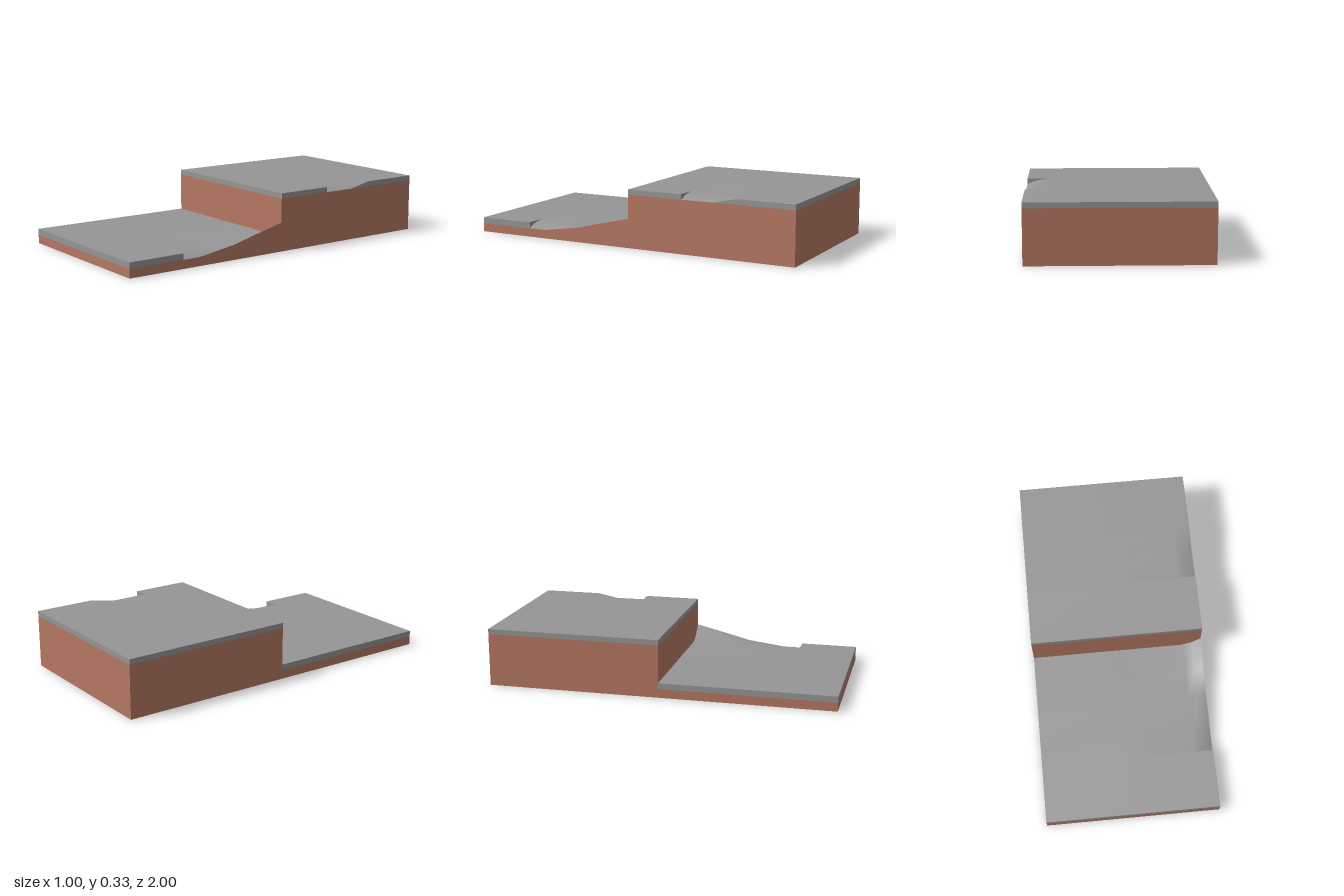
import * as THREE from 'three';

const stone = new THREE.MeshStandardMaterial({ color: 0x969696, side: THREE.DoubleSide });
stone.name = 'grey stone';
const earth = new THREE.MeshStandardMaterial({ color: 0xb67863, side: THREE.DoubleSide });
earth.name = 'brown earth';

// Levels: terrace tops and the lower edges of their stone trim
const LOW = 0.085, LOW_TRIM = 0.05, HIGH = 0.333, HIGH_TRIM = 0.303;
// Rows of [z, height change at the worn right-hand edge]
const LOW_EDGE = [[0.667, -0.035], [0.56, -0.035], [0.333, 0], [0.17, 0.041], [0, 0.082]];
const HIGH_EDGE = [[-0.333, -0.03], [-0.52, -0.03], [-0.66, 0], [-1, 0]];
// Columns of [x, share of the height change]
const COLUMNS = [[-0.5, 0], [0, 0], [0.39, 0], [0.45, 0.37], [0.5, 1]];

export function createModel() {
  const group = new THREE.Group();

  const add = (name, geometry, material) => {
    const mesh = new THREE.Mesh(geometry, material);
    mesh.name = name;
    group.add(mesh);
  };

  // Flat outline panel facing front, back, left or right; points are [x or z, y]
  const panel = (name, facing, at, points, material) => {
    const flip = facing === 'back' || facing === 'left' ? -1 : 1;
    const shape = new THREE.Shape(points.map(([a, y]) => new THREE.Vector2(a * flip, y)));
    const geometry = new THREE.ShapeGeometry(shape);
    if (facing === 'back') geometry.rotateY(Math.PI);
    if (facing === 'left') geometry.rotateY(Math.PI / 2);
    if (facing === 'right') geometry.rotateY(-Math.PI / 2);
    const alongX = facing === 'left' || facing === 'right';
    geometry.translate(alongX ? at : 0, 0, alongX ? 0 : at);
    add(name, geometry, material);
  };
  const rect = (a, b, y0, y1) => [[a, y0], [b, y0], [b, y1], [a, y1]];

  // Terrace top: a grid whose right-hand edge follows the worn profile
  const surface = (name, level, rows) => {
    const positions = [], index = [], n = COLUMNS.length;
    rows.forEach(([z, change], r) => {
      COLUMNS.forEach(([x, share], c) => {
        positions.push(x, level + change * share, z);
        if (r && c) {
          const d = r * n + c, b = d - n;
          index.push(b - 1, b, d, b - 1, d, d - 1);
        }
      });
    });
    const geometry = new THREE.BufferGeometry();
    geometry.setAttribute('position', new THREE.Float32BufferAttribute(positions, 3));
    geometry.setIndex(index);
    geometry.computeVertexNormals();
    add(name, geometry, stone);
  };
  surface('lowerFrontTop', LOW, [[1, 0], [0.667, 0]]);
  surface('lowerTop', LOW, LOW_EDGE);
  surface('upperFrontTop', HIGH, [[0, 0], [-0.333, 0]]);
  surface('upperTop', HIGH, HIGH_EDGE);

  // Small cliffs where the worn edge breaks away from each terrace
  const section = (level, change) => COLUMNS.slice(2).map(([x, s]) => [x, level + change * s]);
  panel('lowerNotch', 'back', 0.667, [...section(LOW, -0.035), [0.5, LOW]], stone);
  panel('upperNotch', 'back', -0.333, [...section(HIGH, -0.03), [0.5, HIGH]], stone);

  // Front, riser and back walls with their trim
  panel('frontWall', 'front', 1, rect(-0.5, 0.5, 0, LOW_TRIM), earth);
  panel('frontTrim', 'front', 1, rect(-0.5, 0.5, LOW_TRIM, LOW), stone);
  panel('riser', 'front', 0,
    [[-0.5, LOW], ...section(LOW, 0.082), [0.5, HIGH_TRIM], [-0.5, HIGH_TRIM]], earth);
  panel('riserTrim', 'front', 0, rect(-0.5, 0.5, HIGH_TRIM, HIGH), stone);
  panel('backWall', 'back', -1, rect(-0.5, 0.5, 0, HIGH_TRIM), earth);
  panel('backTrim', 'back', -1, rect(-0.5, 0.5, HIGH_TRIM, HIGH), stone);

  // Straight side wall
  panel('rightWall', 'right', -0.5, [[1, 0], [1, LOW_TRIM], [0, LOW_TRIM],
    [0, HIGH_TRIM], [-1, HIGH_TRIM], [-1, 0]], earth);
  panel('rightLowerTrim', 'right', -0.5, rect(0, 1, LOW_TRIM, LOW), stone);
  panel('rightUpperTrim', 'right', -0.5, rect(-1, 0, HIGH_TRIM, HIGH), stone);

  // Worn side wall with the rising slope
  panel('leftWall', 'left', 0.5, [[1, 0], [1, LOW_TRIM],
    ...LOW_EDGE.map(([z, change]) => [z, LOW + change]),
    [0, HIGH_TRIM], [-1, HIGH_TRIM], [-1, 0]], earth);
  panel('leftLowerTrim', 'left', 0.5, rect(0.667, 1, LOW_TRIM, LOW), stone);
  panel('leftUpperTrim', 'left', 0.5, rect(-0.333, 0, HIGH_TRIM, HIGH), stone);
  panel('leftBackTrim', 'left', 0.5,
    [[-0.52, HIGH_TRIM], [-0.66, HIGH], [-1, HIGH], [-1, HIGH_TRIM]], stone);

  return group;
}
